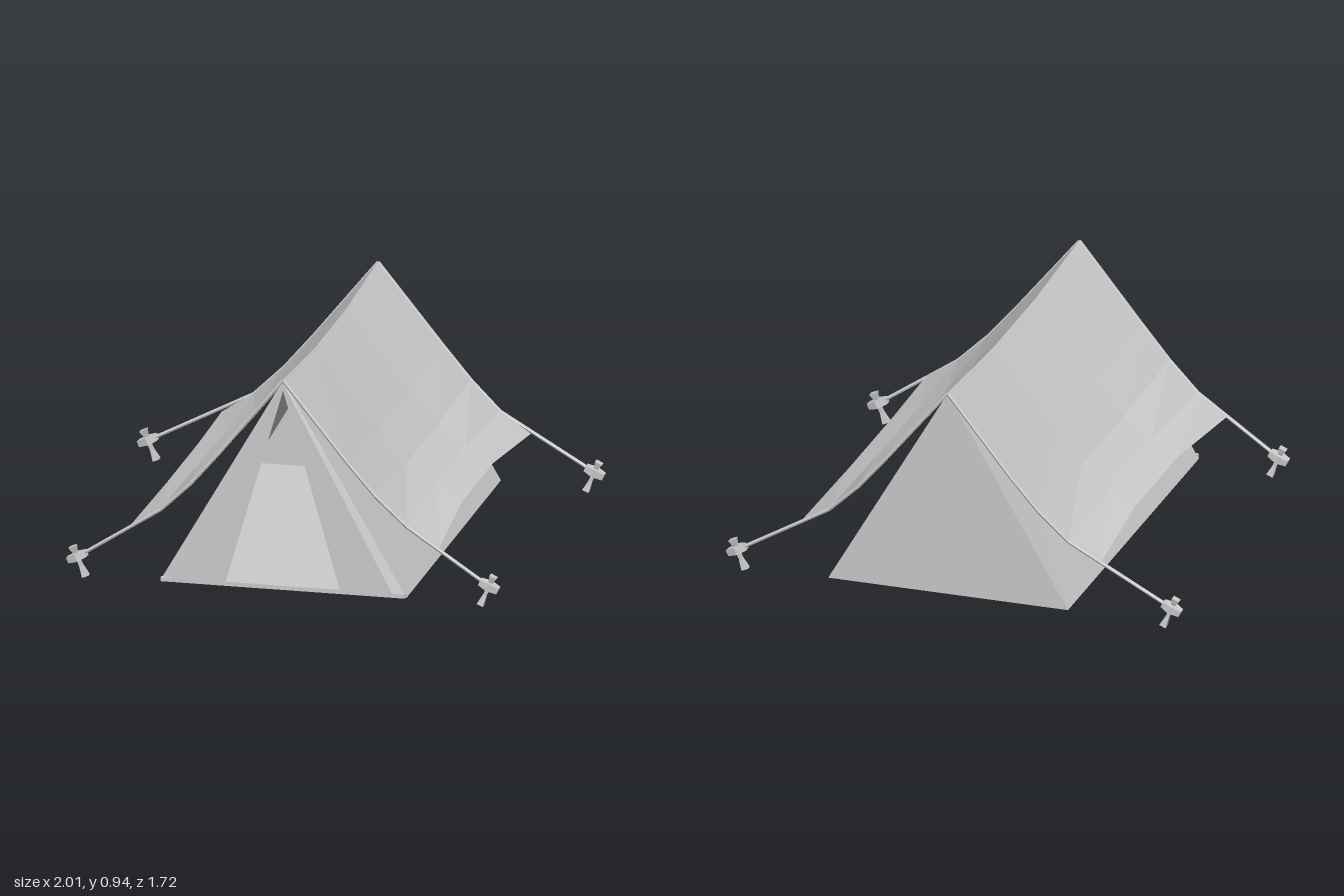
import * as THREE from 'three';

const material = new THREE.MeshStandardMaterial({
  color: 0xcccccc, flatShading: true, side: THREE.DoubleSide,
});

function addMesh(parent, name, geometry) {
  const mesh = new THREE.Mesh(geometry, material);
  mesh.name = name;
  parent.add(mesh);
  return mesh;
}

// Sheet of quads between rows of [x, y, z] points
function sheet(rows) {
  const n = rows[0].length, index = [];
  for (let r = 0; r < rows.length - 1; r++) {
    for (let c = 0; c < n - 1; c++) {
      const a = r * n + c, b = a + n;
      index.push(a, b, a + 1, a + 1, b, b + 1);
    }
  }
  const g = new THREE.BufferGeometry();
  g.setAttribute('position', new THREE.Float32BufferAttribute(rows.flat(2), 3));
  g.setIndex(index);
  const flat = g.toNonIndexed();
  flat.computeVertexNormals();
  return flat;
}

const CX = 0.025;     // ridge line of the tent
const HALF = 0.53;    // half width of the floor
const FLOOR = 0.025;
const END = 0.845;    // half length of the inner tent

// Half profiles of the fly from ridge to hem: [offset, height, z]
const endProfile = [[0, 0.945, 0.85], [0.28, 0.6, 0.85], [0.4, 0.46, 0.845], [0.53, 0.335, 0.832], [0.665, 0.247, 0.82]];
const midProfile = [[0, 0.91, 0.28], [0.27, 0.575, 0.28], [0.395, 0.435, 0.28], [0.515, 0.345, 0.28], [0.632, 0.28, 0.28]];

// Full cross-section from the left hem over the ridge to the right hem
function section(profile, zSign) {
  const side = (s) => profile.map(([x, y, z]) => [CX + s * x, y, zSign * z]);
  return [...side(1).reverse(), ...side(-1).slice(1)];
}

// Straight square-cut rods following a list of points
function rope(parent, name, points, radius) {
  const path = new THREE.CurvePath();
  const v = points.map((p) => new THREE.Vector3(...p));
  for (let i = 0; i < v.length - 1; i++) path.add(new THREE.LineCurve3(v[i], v[i + 1]));
  path.curves.forEach((c) => addMesh(parent, name, new THREE.TubeGeometry(c, 1, radius, 6)));
}

function makePeg(side) {
  const peg = new THREE.Group();
  peg.name = 'peg';
  // Waisted stake
  const stake = new THREE.LatheGeometry([
    [0, -0.07], [0.021, -0.07], [0.011, -0.02], [0.011, 0.035], [0.023, 0.07], [0, 0.07],
  ].map(([x, y]) => new THREE.Vector2(x, y)), 4);
  stake.rotateY(Math.PI / 4);
  addMesh(peg, 'pegStake', stake);
  // Crossbar with narrower ends
  const bar = new THREE.BoxGeometry(0.086, 0.034, 0.058, 2, 1, 1);
  const p = bar.attributes.position;
  for (let i = 0; i < p.count; i++) {
    if (Math.abs(p.getX(i)) > 0.01) {
      p.setY(i, p.getY(i) * 0.75);
      p.setZ(i, p.getZ(i) * 0.6);
    }
  }
  addMesh(peg, 'pegCrossbar', bar).position.y = 0.022;
  peg.rotation.z = -side * 0.42;
  return peg;
}

export function createModel() {
  const model = new THREE.Group();
  model.name = 'tent';

  // Sagging outer fly
  addMesh(model, 'fly', sheet([
    section(endProfile, -1), section(midProfile, -1), section(midProfile, 1), section(endProfile, 1),
  ]));

  // Inner tent: floor, sloping side walls and closed back wall
  const inner = new THREE.Group();
  inner.name = 'innerTent';
  model.add(inner);
  const L = CX - HALF, R = CX + HALF;
  addMesh(inner, 'floor', sheet([
    [[L, FLOOR, -END], [R, FLOOR, -END]], [[L, FLOOR, END], [R, FLOOR, END]],
  ]));
  for (const s of [-1, 1]) {
    addMesh(inner, 'sideWall', sheet([-END, -0.28, 0.28, END].map((z) => [
      [CX, Math.abs(z) > 0.5 ? 0.935 : 0.9, z], [CX + s * HALF, FLOOR, z],
    ])));
  }
  addMesh(inner, 'backWall', sheet([
    [[CX, 0.94, -END], [CX, 0.94, -END]], [[L, FLOOR, -END], [R, FLOOR, -END]],
  ]));

  // Front flaps on either side of the open doorway
  for (const s of [-1, 1]) {
    addMesh(inner, 'doorFlap', sheet([
      [[CX, 0.94, END], [CX, 0.925, 0.85], [CX, 0.895, 0.85]],
      [[CX + s * HALF, FLOOR, END - 0.005], [CX + s * 0.48, FLOOR, 0.858], [CX + s * 0.248, FLOOR + 0.01, 0.858]],
    ]));
  }
  const sill = addMesh(inner, 'doorSill', new THREE.BoxGeometry(2 * HALF - 0.01, 0.018, 0.016));
  sill.position.set(CX, FLOOR + 0.009, 0.851);

  // Guy ropes along the fly ends, and their pegs
  const anchors = [[-1, 1, 0.865, 0.815], [1, 1, 0.9, 0.818], [-1, -1, 0.957, -0.835], [1, -1, 0.957, -0.835]];
  for (const [side, end, x, z] of anchors) {
    const hem = endProfile.slice(0, 4).map(([px, py, pz]) => [CX + side * px, py - 0.004, end * pz]);
    rope(model, 'guyRope', [...hem, [side * x, 0.095, z]], 0.008);
    const peg = makePeg(side);
    peg.position.set(side * (x - 0.005), 0.074, z);
    model.add(peg);
  }
  return model;
}
